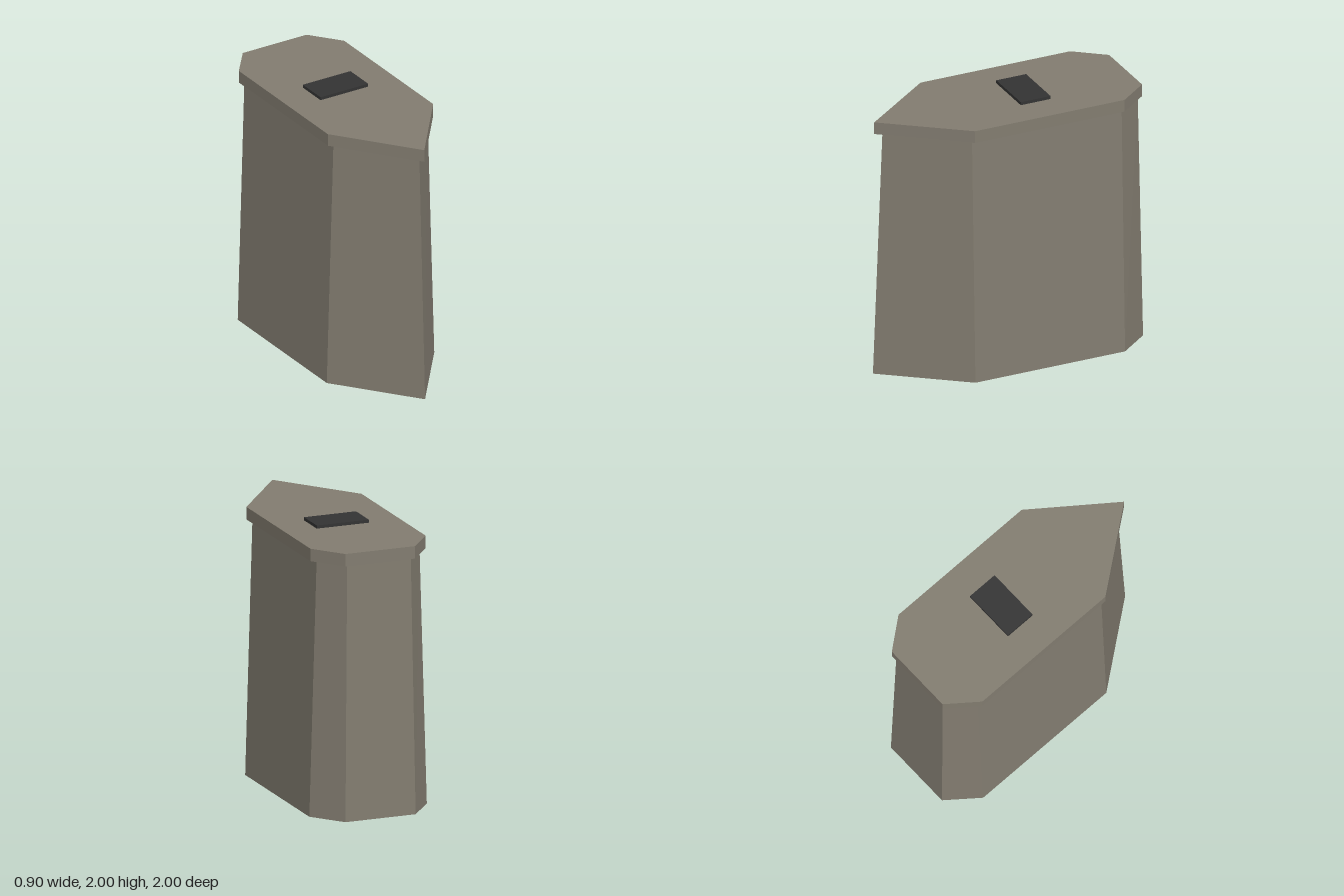
import * as THREE from 'three';

// Seven-cornered plan: pointed front, chamfered back. Listed as [x, z], mirrored in x.
function plan(tipZ, side, frontZ, chamferZ, back, backZ) {
  return [[0, tipZ], [side, frontZ], [side, chamferZ], [back, backZ],
    [-back, backZ], [-side, chamferZ], [-side, frontZ]];
}

// Flat walls between a lower and an upper ring, optionally closed by a roof.
function shell(lower, y0, upper, y1, roof) {
  const pos = [];
  const n = lower.length;
  for (let i = 0; i < n; i++) {
    const j = (i + 1) % n;
    const a = [lower[i][0], y0, lower[i][1]], b = [lower[j][0], y0, lower[j][1]];
    const c = [upper[j][0], y1, upper[j][1]], d = [upper[i][0], y1, upper[i][1]];
    pos.push(...a, ...b, ...c, ...a, ...c, ...d);
    if (roof && i > 0 && i < n - 1) pos.push(upper[0][0], y1, upper[0][1], ...d, ...c);
  }
  const geo = new THREE.BufferGeometry();
  geo.setAttribute('position', new THREE.Float32BufferAttribute(pos, 3));
  geo.computeVertexNormals();
  return geo;
}

export function createModel() {
  const stone = new THREE.MeshStandardMaterial({ color: 0x827c70, side: THREE.DoubleSide, flatShading: true });
  stone.name = 'stone';
  const dark = new THREE.MeshStandardMaterial({ color: 0x333333, flatShading: true });
  dark.name = 'darkPad';

  const group = new THREE.Group();
  group.name = 'bridgePier';
  const add = (name, geo, mat) => {
    const mesh = new THREE.Mesh(geo, mat);
    mesh.name = name;
    group.add(mesh);
    return mesh;
  };

  // Tapered hollow shaft, open underneath
  add('shaft', shell(
    plan(1.0, 0.452, 0.41, -0.77, 0.27, -1.0), 0,
    plan(0.925, 0.396, 0.41, -0.77, 0.245, -0.97), 1.89, false), stone);

  // Overhanging cap, hollow below its rim
  const rim = plan(0.99, 0.443, 0.41, -0.77, 0.268, -0.993);
  add('cap', shell(rim, 1.885, rim, 1.977, true), stone);

  // Bearing pad on the cap
  add('bearingPad', new THREE.BoxGeometry(0.4, 0.023, 0.235), dark)
    .position.set(0, 1.9885, -0.187);

  return group;
}
